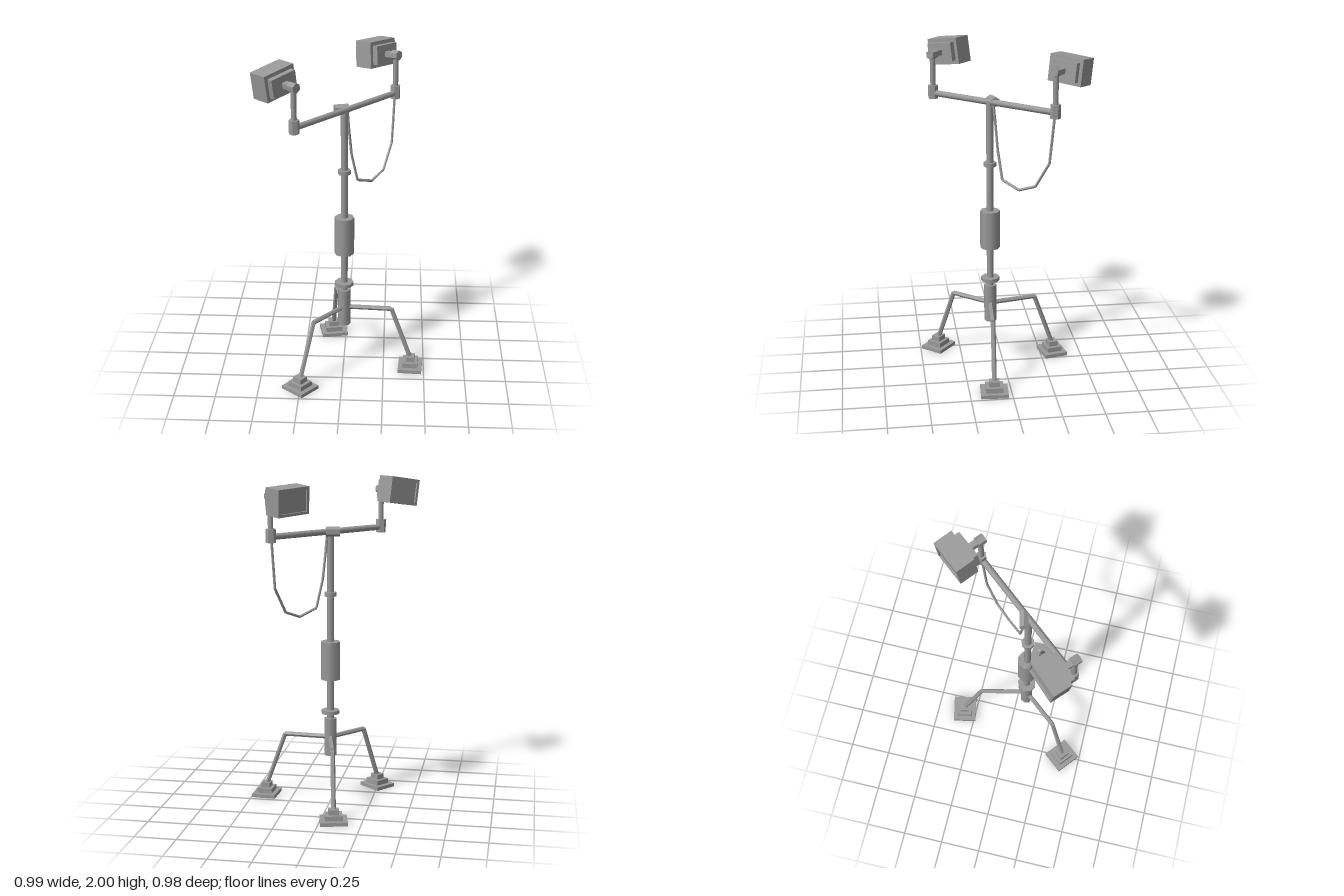
import * as THREE from 'three';

const COLOR = 0x999999;
const flat = new THREE.MeshStandardMaterial({ color: COLOR, flatShading: true });
const smooth = new THREE.MeshStandardMaterial({ color: COLOR });
const V = (x, y, z) => new THREE.Vector3(x, y, z);
const rad = THREE.MathUtils.degToRad;
const POLE = V(0.005, 0, 0.078);

function add(parent, name, geo, x = 0, y = 0, z = 0, mat = flat) {
  const m = new THREE.Mesh(geo, mat);
  m.name = name;
  m.position.set(x, y, z);
  parent.add(m);
  return m;
}

const box = (w, h, d) => new THREE.BoxGeometry(w, h, d);

// Straight bar between two points: round with 8 sides, faceted with 6
function rod(parent, name, a, b, r, sides = 8) {
  const dir = b.clone().sub(a);
  const mid = a.clone().add(b).multiplyScalar(0.5);
  const geo = new THREE.CylinderGeometry(r, r, dir.length(), sides);
  const m = add(parent, name, geo, mid.x, mid.y, mid.z, sides > 6 ? smooth : flat);
  m.quaternion.setFromUnitVectors(V(0, 1, 0), dir.normalize());
  return m;
}

// Chain of straight bars through a list of points
function chain(parent, name, pts, r, sides) {
  const g = new THREE.Group();
  g.name = name;
  for (let i = 1; i < pts.length; i++) rod(g, name + 'Segment', pts[i - 1], pts[i], r, sides);
  parent.add(g);
}

// Upright part on the pole axis
function ring(parent, name, y0, y1, r) {
  const m = rod(parent, name, V(POLE.x, y0, POLE.z), V(POLE.x, y1, POLE.z), r);
  m.rotation.y = -0.1;
}

// Leg with a knee and a stepped rectangular foot
function leg(parent, x, z) {
  const g = new THREE.Group();
  g.name = 'leg';
  g.position.copy(POLE);
  const dx = x - POLE.x, dz = z - POLE.z, reach = Math.hypot(dx, dz);
  g.rotation.y = Math.atan2(-dz, dx);
  chain(g, 'legBar', [V(0, 0.405, 0), V(reach - 0.123, 0.405, 0), V(reach, 0.065, 0)], 0.0142, 6);
  [[1, 0, 0.022], [0.64, 0.022, 0.052], [0.38, 0.052, 0.083]].forEach(([s, y0, y1]) =>
    add(g, 'footStep', box(0.146 * s, y1 - y0, 0.163 * s), reach, (y0 + y1) / 2, 0));
  parent.add(g);
}

// Floodlight on its hinge; local +z is the direction it shines
function lamp(parent, yaw, pitch, roll) {
  const g = new THREE.Group();
  g.name = 'floodlight';
  g.rotation.set(rad(pitch), rad(yaw), rad(roll), 'YXZ');
  const hinge = new THREE.CylinderGeometry(0.029, 0.029, 0.05, 6).rotateX(Math.PI / 2);
  add(g, 'hinge', hinge);
  add(g, 'neck', box(0.036, 0.032, 0.06), 0, 0, 0.045);
  add(g, 'backPlate', box(0.174, 0.112, 0.034), 0, 0, 0.087);
  add(g, 'housing', box(0.216, 0.156, 0.107), 0, 0, 0.1565);
  // Rim around the recessed glass
  const rect = (T, w, h) => new T([[-w, -h], [w, -h], [w, h], [-w, h]].map(p => new THREE.Vector2(...p)));
  const rim = rect(THREE.Shape, 0.108, 0.078);
  rim.holes.push(rect(THREE.Path, 0.092, 0.062));
  add(g, 'rim', new THREE.ExtrudeGeometry(rim, { depth: 0.01, bevelEnabled: false }), 0, 0, 0.21);
  parent.add(g);
  return g;
}

export function createModel() {
  const model = new THREE.Group();
  model.name = 'floodlightStand';

  // Telescopic pole with collars
  ring(model, 'baseTube', 0.29, 0.525, 0.038);
  ring(model, 'pole', 0.4, 1.68, 0.021);
  ring(model, 'lowerCollar', 0.555, 0.577, 0.057);
  ring(model, 'sleeve', 0.77, 1.005, 0.06);
  ring(model, 'upperCollar', 1.283, 1.308, 0.038);

  // Tripod
  leg(model, 0.417, 0.104);
  leg(model, -0.083, -0.325);
  leg(model, -0.248, 0.385);

  // Crossbar and the bracket on top of the pole
  const ends = [V(-0.257, 1.673, 0.387), V(0.294, 1.673, -0.26)];
  rod(model, 'crossbar', ends[0], ends[1], 0.0185);
  const bracket = new THREE.CylinderGeometry(0.029, 0.029, 0.083, 6).rotateY(Math.PI / 6).rotateZ(Math.PI / 2);
  add(model, 'bracket', bracket, -0.013, 1.675, 0.056).rotation.y = 0.25;

  // Uprights, clamps and floodlights at both ends
  const aim = [[-132.7, 0, -8.5], [-130.4, 5, 3.5]];
  ends.forEach((e, i) => {
    const at = y => V(e.x, y, e.z);
    rod(model, 'clamp', at(1.64), at(1.72), 0.03, 6).rotation.y = rad(aim[i][0]);
    rod(model, 'upright', at(1.66), at(1.905), 0.016);
    lamp(model, ...aim[i]).position.copy(at(1.905));
  });

  // Hanging cable
  chain(model, 'cable', [
    V(0.022, 1.66, 0.058), V(0.03, 1.55, 0.048), V(0.045, 1.39, 0.036), V(0.08, 1.22, 0.014),
    V(0.164, 1.18, -0.074), V(0.231, 1.22, -0.16), V(0.278, 1.37, -0.232), V(0.29, 1.645, -0.256),
  ], 0.008, 6);

  return model;
}
